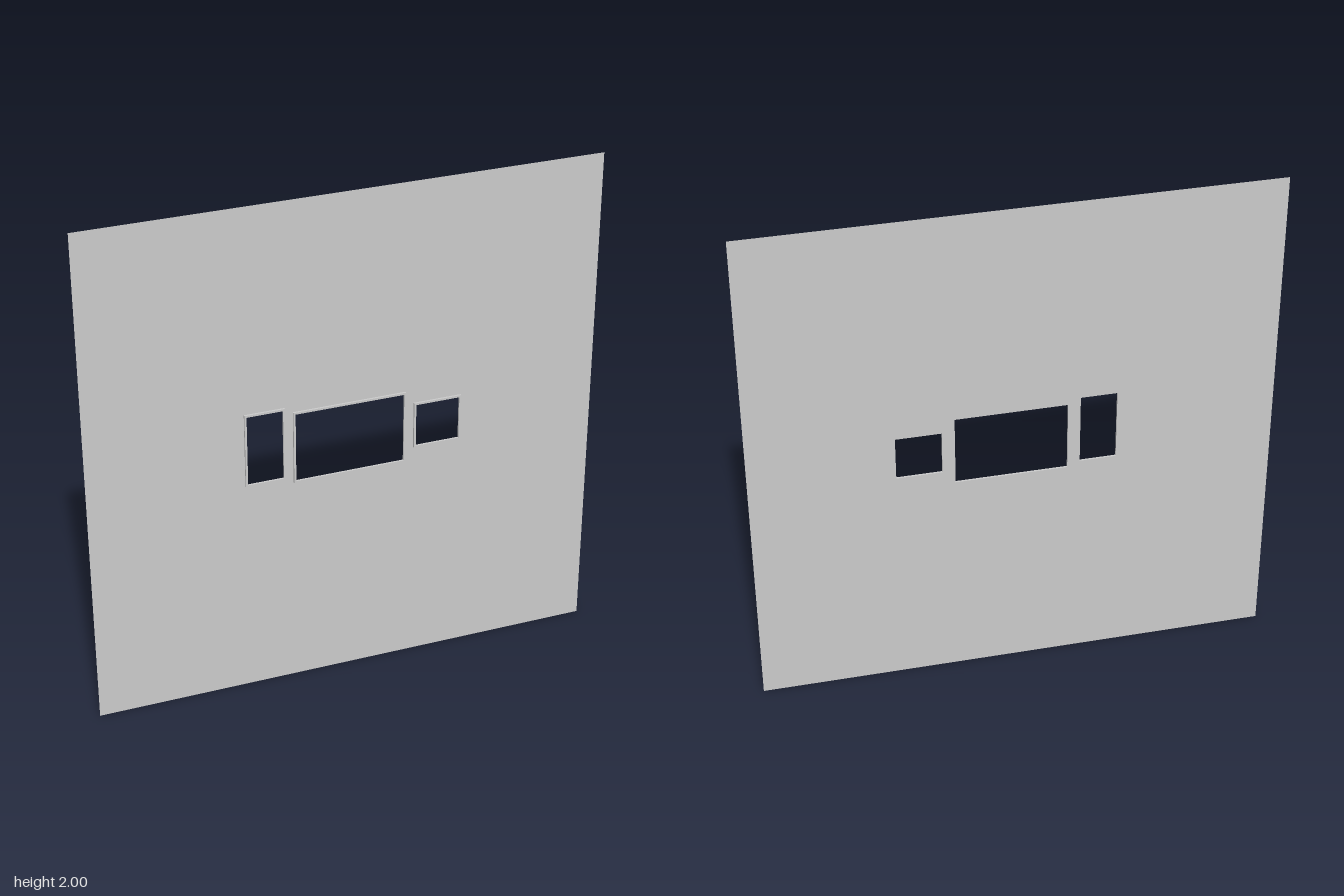
import * as THREE from 'three';

const DEPTH = 0.008; // how far the trims stand out from the wall
const TRIM = 0.008;  // width of the trims

// outer edges of each window trim: left, right, bottom, top
const WINDOWS = [
  { name: 'tallWindowTrim', x0: -0.398, x1: -0.242, y0: 0.884, y1: 1.184 },
  { name: 'wideWindowTrim', x0: -0.21, x1: 0.234, y0: 0.863, y1: 1.16 },
  { name: 'squareWindowTrim', x0: 0.267, x1: 0.457, y0: 0.917, y1: 1.107 },
];

// traces a rectangle, inset from its edges, onto a shape or path
function rect(path, { x0, x1, y0, y1 }, inset = 0) {
  path.moveTo(x0 + inset, y0 + inset);
  path.lineTo(x1 - inset, y0 + inset);
  path.lineTo(x1 - inset, y1 - inset);
  path.lineTo(x0 + inset, y1 - inset);
  path.closePath();
  return path;
}

export function createModel() {
  const group = new THREE.Group();
  const material = new THREE.MeshStandardMaterial({ color: 0xcccccc, side: THREE.DoubleSide });

  // flat wall with three openings
  const wallShape = rect(new THREE.Shape(), { x0: -1, x1: 1, y0: 0, y1: 2 });
  for (const w of WINDOWS) wallShape.holes.push(rect(new THREE.Path(), w, TRIM));
  const wall = new THREE.Mesh(new THREE.ShapeGeometry(wallShape), material);
  wall.name = 'wall';
  wall.position.z = -DEPTH / 2;
  group.add(wall);

  // narrow raised trim around each opening
  for (const w of WINDOWS) {
    const shape = rect(new THREE.Shape(), w);
    shape.holes.push(rect(new THREE.Path(), w, TRIM));
    const geometry = new THREE.ExtrudeGeometry(shape, { depth: DEPTH, bevelEnabled: false });
    const trim = new THREE.Mesh(geometry, material);
    trim.name = w.name;
    trim.position.z = -DEPTH / 2;
    group.add(trim);
  }
  return group;
}
